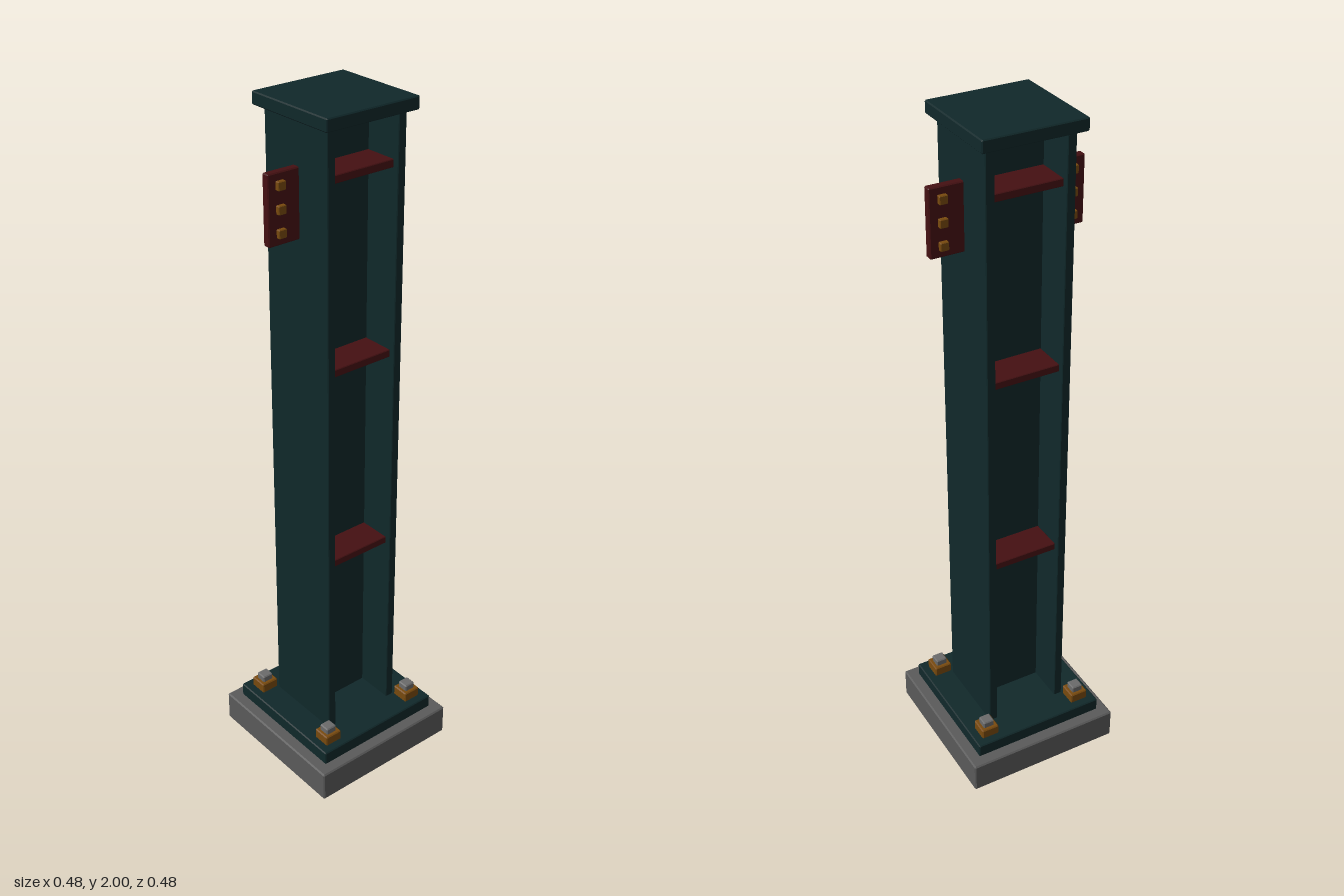
import * as THREE from 'three';
import { ConvexGeometry } from 'three/addons/geometries/ConvexGeometry.js';

const mat = (name, color) => {
  const m = new THREE.MeshStandardMaterial({ color });
  m.name = name;
  return m;
};

// Box with narrow chamfered edges, given by its centre and size
function chamferBox(w, h, d, c) {
  const points = [];
  for (const x of [-1, 1]) for (const y of [-1, 1]) for (const z of [-1, 1]) {
    for (let axis = 0; axis < 3; axis++) {
      const p = [w / 2, h / 2, d / 2].map((v, i) => (i === axis ? v : v - c));
      points.push(new THREE.Vector3(p[0] * x, p[1] * y, p[2] * z));
    }
  }
  return new ConvexGeometry(points);
}

export function createModel() {
  const model = new THREE.Group();
  model.name = 'steelColumn';

  const concrete = mat('concrete grey', 0x5a5a5a);
  const steel = mat('dark teal paint', 0x10282a);
  const red = mat('dark red paint', 0x451012);
  const brass = mat('amber nut', 0x784a0e);
  const stud = mat('stud grey', 0x6a6a6a);

  const add = (name, material, size, pos, c = 0.003) => {
    const mesh = new THREE.Mesh(chamferBox(...size, c), material);
    mesh.name = name;
    mesh.position.set(...pos);
    model.add(mesh);
  };

  // Footing, base plate and cap plate
  add('footing', concrete, [0.476, 0.094, 0.476], [0, 0.047, 0], 0.004);
  add('basePlate', steel, [0.41, 0.042, 0.41], [0, 0.115, 0]);
  add('capPlate', steel, [0.292, 0.035, 0.292], [0, 1.9825, 0]);

  // Column: thin web between two flanges
  add('web', steel, [0.21, 1.836, 0.02], [0, 1.05, 0], 0.001);
  for (const side of [-1, 1]) {
    add('flange', steel, [0.025, 1.836, 0.246], [side * 0.1125, 1.05, 0], 0.002);

    // Connection lug with three through bolts
    add('connectionLug', red, [0.1, 0.189, 0.023], [side * 0.17, 1.75, 0]);
    for (const y of [1.812, 1.75, 1.688]) {
      add('lugBolt', brass, [0.024, 0.024, 0.046], [side * 0.184, y, 0], 0.002);
    }

    // Stiffeners on both faces of the web
    for (const y of [1.829, 1.303, 0.705]) {
      add('stiffener', red, [0.202, 0.022, 0.1], [0, y, side * 0.056], 0.002);
    }

    // Anchor nuts and studs at the base corners
    for (const end of [-1, 1]) {
      add('anchorNut', brass, [0.054, 0.032, 0.054], [side * 0.154, 0.15, end * 0.154]);
      add('anchorStud', stud, [0.034, 0.05, 0.034], [side * 0.154, 0.16, end * 0.154]);
    }
  }
  return model;
}
